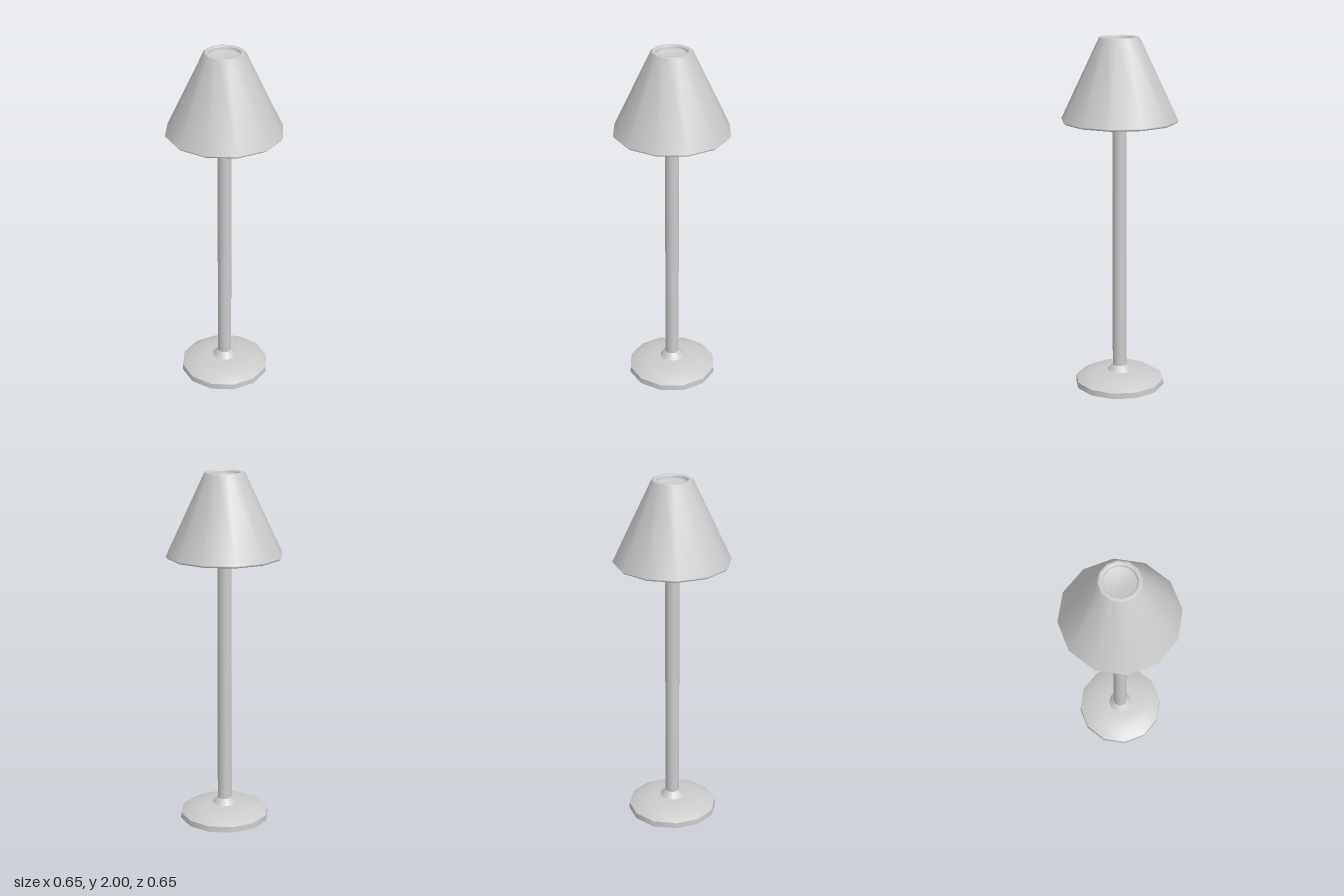
import * as THREE from 'three';

const SIDES = 12;
const material = new THREE.MeshStandardMaterial({ color: 0xcccccc });

// Turned part from [radius, height] pairs, listed so that the surface faces outwards
function turned(name, profile) {
  const points = profile.map(([r, y]) => new THREE.Vector2(r, y));
  const mesh = new THREE.Mesh(new THREE.LatheGeometry(points, SIDES), material);
  mesh.name = name;
  return mesh;
}

export function createModel() {
  const model = new THREE.Group();
  model.name = 'tableLamp';

  // Foot: flat underside, short rim, sloping top and a small collar
  const foot = new THREE.Group();
  foot.name = 'foot';
  foot.add(
    turned('footUnderside', [[0, 0], [0.257, 0]]),
    turned('footRim', [[0.257, 0], [0.255, 0.033]]),
    turned('footTop', [[0.255, 0.033], [0.19, 0.07], [0.11, 0.078], [0.07, 0.081]]),
    turned('collar', [[0.07, 0.081], [0.042, 0.113], [0.038, 0.115]])
  );

  // Pole reaching the shade's underside
  const pole = turned('pole', [[0.04, 0.08], [0.04, 1.55]]);

  // Shade: cone with a rolled lower lip, a shallow recess at each end
  const shade = new THREE.Group();
  shade.name = 'shade';
  shade.add(
    turned('shadeUnderside', [[0, 1.55], [0.285, 1.55]]),
    turned('shadeCone', [
      [0.285, 1.55], [0.288, 1.535], [0.315, 1.535], [0.326, 1.548],
      [0.113, 1.995], [0.105, 2], [0.09, 2], [0.086, 1.993],
    ]),
    turned('shadeTopRecess', [[0.086, 1.993], [0.084, 1.975], [0, 1.97]])
  );

  model.add(foot, pole, shade);
  return model;
}
